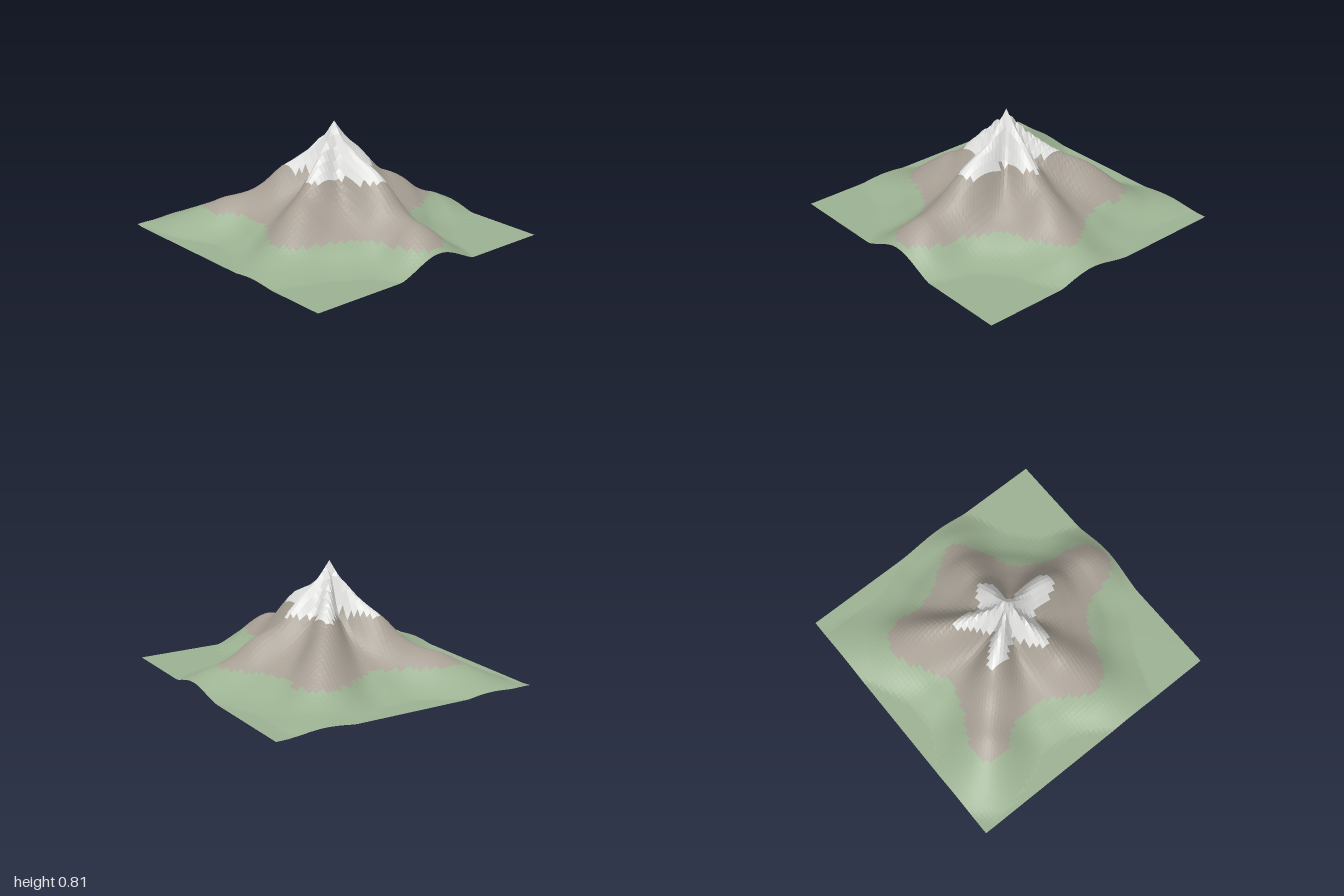
import * as THREE from 'three';

const STEP = 0.1;      // radial spacing of the profile heights
const PEAK = 0.81;
const SEGMENTS = 64;
const ROCK_LINE = 0.14;
const SNOW_LINE = 0.455;

// Five spurs: compass angle near the summit and at the foot (degrees from +x towards +z),
// and crest heights going outward
const ridges = [
  { inner: -8, outer: -3, h: [.685, .60, .555, .50, .41, .31, .265, .25, .20, .115, .05, 0, -.04] },
  { inner: 71, outer: 68, h: [.685, .585, .48, .385, .335, .265, .19, .11, .06, .03, .01, 0, -.04] },
  { inner: 145, outer: 138, h: [.685, .58, .505, .435, .335, .265, .23, .205, .16, .12, .08, .04, .01] },
  { inner: 215, outer: 217, h: [.685, .59, .51, .445, .40, .345, .27, .185, .11, .06, .04, .025, .01] },
  { inner: 274, outer: 279, h: [.69, .60, .49, .39, .345, .285, .20, .145, .11, .06, .02, 0, -.04] },
];

// Gullies between spurs share one profile, stretched outward by a factor
// that changes from the summit to the foot
const gully = [.49, .37, .29, .23, .17, .11, .045, .01, -.01, -.03, -.05, -.07, -.09];
const gullyStretch = [[1.5, 1.08], [1.05, 1.0], [1.0, 0.99], [1.9, 1.18], [1.3, 1.0]];

// Smooth height along a radial profile
function along(profile, r) {
  const at = (i) => (i <= 0 ? PEAK : profile[Math.min(i, profile.length) - 1]);
  const i = Math.floor(r / STEP);
  const t = r / STEP - i;
  const p1 = at(i), p2 = at(i + 1);
  const m1 = i === 0 ? p2 - p1 : (p2 - at(i - 1)) / 2;
  const m2 = (at(i + 2) - p1) / 2;
  const t2 = t * t, t3 = t2 * t;
  return (2 * t3 - 3 * t2 + 1) * p1 + (t3 - 2 * t2 + t) * m1
    + (3 * t2 - 2 * t3) * p2 + (t3 - t2) * m2;
}

// Terrain height: blend from each crest to the gullies on either side
function heightAt(x, z) {
  const { lerp, smoothstep, radToDeg } = THREE.MathUtils;
  const r = Math.hypot(x, z);
  const bend = smoothstep(r, 0.2, 0.9);
  const angles = ridges.map((k) => lerp(k.inner, k.outer, bend));
  let a = radToDeg(Math.atan2(z, x));
  if (a < angles[0]) a += 360;
  for (let i = 0; i < 5; i++) {
    const j = (i + 1) % 5;
    const start = angles[i];
    const end = angles[j] + (j === 0 ? 360 : 0);
    if (a > end) continue;
    const t = (a - start) / (end - start);
    const crest = along(ridges[t < 0.5 ? i : j].h, r);
    const [near, far] = gullyStretch[i];
    const low = along(gully, r / lerp(near, far, smoothstep(r, 0.1, 0.5)));
    // Spurs narrow towards the foot
    const w = (0.5 + 0.5 * Math.cos(t * Math.PI * 2)) ** lerp(1, 1.9, smoothstep(r, 0.2, 0.9));
    return Math.max(0, low + (crest - low) * w);
  }
  return 0;
}

export function createModel() {
  const group = new THREE.Group();
  group.name = 'mountain';

  // Square terrain sheet
  const sheet = new THREE.PlaneGeometry(2, 2, SEGMENTS, SEGMENTS).rotateX(-Math.PI / 2);
  const pos = sheet.attributes.position;
  for (let i = 0; i < pos.count; i++) pos.setY(i, heightAt(pos.getX(i), pos.getZ(i)));
  sheet.computeVertexNormals();

  // Sort the cells into zones by height
  const zones = [
    { name: 'grassSlopes', material: 'grassGreen', color: 0x9cb192, index: [] },
    { name: 'rockSlopes', material: 'rockBrown', color: 0xa79f94, index: [] },
    { name: 'snowCap', material: 'snowWhite', color: 0xe2e3e0, index: [] },
  ];
  const source = sheet.index.array;
  for (let c = 0; c < source.length; c += 6) {
    const cell = Array.from(source.slice(c, c + 6));
    const y = cell.reduce((sum, v) => sum + pos.getY(v), 0) / 6;
    zones[y > SNOW_LINE ? 2 : y > ROCK_LINE ? 1 : 0].index.push(...cell);
  }

  // One mesh for each zone
  for (const zone of zones) {
    const part = sheet.clone();
    part.setIndex(zone.index);
    const material = new THREE.MeshStandardMaterial({
      color: zone.color, flatShading: true, side: THREE.DoubleSide,
    });
    material.name = zone.material;
    const mesh = new THREE.Mesh(part.toNonIndexed(), material);
    mesh.name = zone.name;
    group.add(mesh);
  }
  return group;
}
